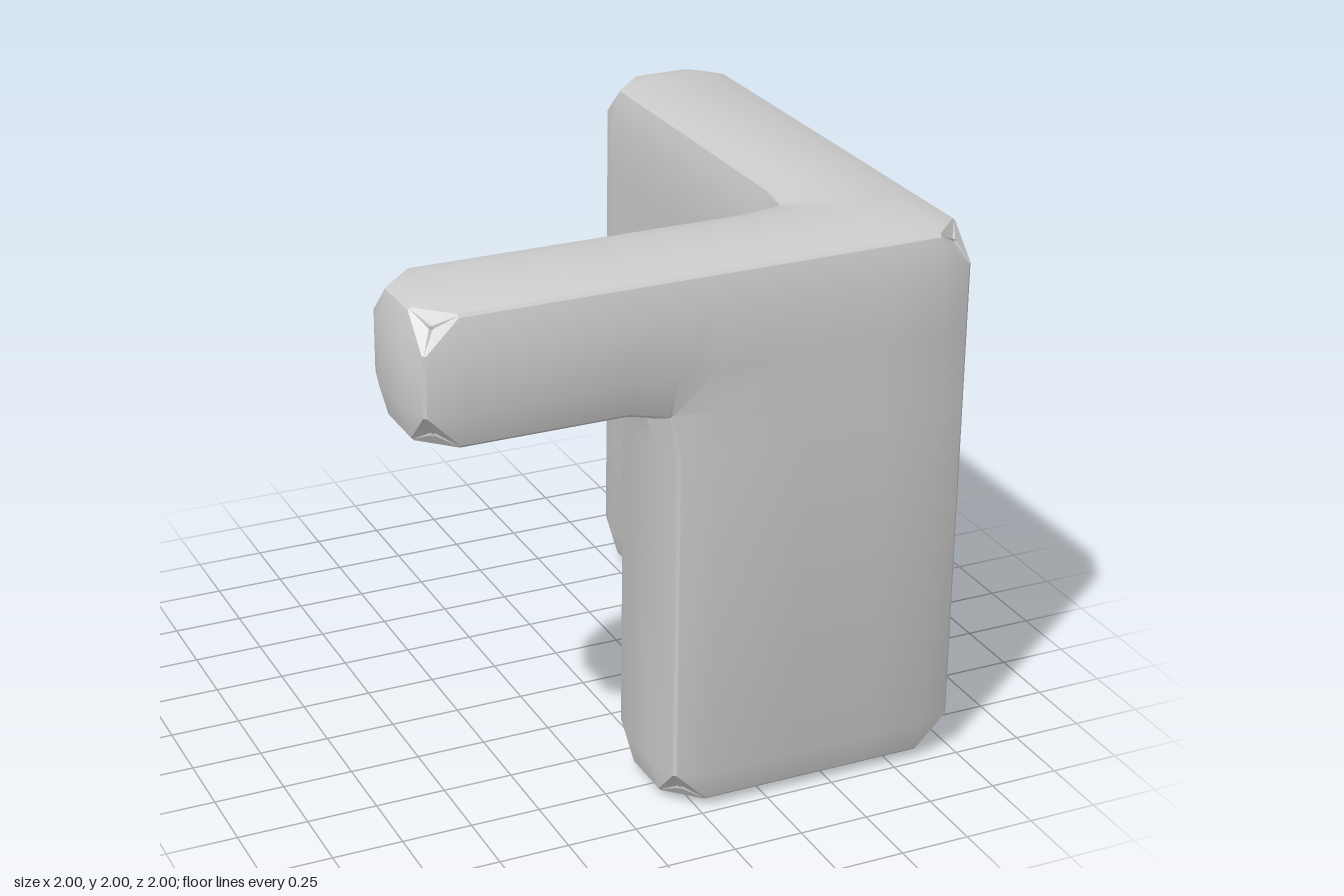
import * as THREE from 'three';
import { toCreasedNormals } from 'three/addons/utils/BufferGeometryUtils.js';

// Solid blocks [x0, x1, y0, y1, z0, z1] that join into one bevelled body
const blocks = [
  [0.5, 1, 0, 2, -1, 1],      // side panel
  [-0.125, 1, 0, 2, 0.5, 1],  // front column
  [-1, 1, 1.49, 2, 0.5, 1],   // front arm
];
const inside = (p) => blocks.some((b) => [0, 1, 2].every((i) => p[i] > b[2 * i] && p[i] < b[2 * i + 1]));

// Grid lines: each block plane plus support lines for the bevel on both sides
const OFFSETS = [-0.15, -0.01, 0, 0.01, 0.15];
const lines = [0, 1, 2].map((axis) => {
  const planes = [...new Set(blocks.flatMap((b) => [b[2 * axis], b[2 * axis + 1]]))];
  const lo = Math.min(...planes), hi = Math.max(...planes);
  const all = planes.flatMap((p) => OFFSETS.map((o) => +(p + o).toFixed(3)));
  return [...new Set(all)].filter((v) => v >= lo && v <= hi).sort((a, b) => a - b);
});

// Count the filled octants around a point and which way the solid lies
function octants(p, h) {
  const sum = [0, 0, 0];
  let filled = 0;
  for (const sx of [-1, 1]) for (const sy of [-1, 1]) for (const sz of [-1, 1]) {
    const s = [sx, sy, sz];
    if (!inside(p.map((v, i) => v + s[i] * h))) continue;
    filled++;
    s.forEach((v, i) => { sum[i] += v; });
  }
  return { filled, sum };
}

// Bevel rule: convex edges and corners sink in, concave edges fill out
function bevel(p) {
  const { filled, sum } = octants(p, 0.1);
  if (filled === 4) return p;
  const edge = octants(p, 0.004).filled === 4 ? 0.03 : 0.035;
  return p.map((v, i) => {
    if (filled === 1) return v + 0.07 * sum[i];
    if (filled === 3) return Math.abs(sum[i]) === 3 ? v + edge * Math.sign(sum[i]) : v;
    return v + edge * Math.sign(sum[i]) * (filled < 4 ? 1 : -1);
  });
}

function bodyGeometry() {
  const positions = [];
  const dist = (a, b) => Math.hypot(a[0] - b[0], a[1] - b[1], a[2] - b[2]);
  const mid = (axis, i) => (lines[axis][i] + lines[axis][i + 1]) / 2;
  const filledCell = (c) => c.every((i, a) => i >= 0 && i < lines[a].length - 1) && inside(c.map((i, a) => mid(a, i)));

  // Skin of every filled cell that borders an empty one
  const addCell = (cell) => {
    for (let axis = 0; axis < 3; axis++) for (const side of [0, 1]) {
      const next = [...cell];
      next[axis] += side ? 1 : -1;
      if (filledCell(next)) continue;
      const u = (axis + 1) % 3, v = (axis + 2) % 3;
      const q = [[0, 0], [1, 0], [1, 1], [0, 1]].map(([du, dv]) => {
        const c = [...cell];
        c[axis] += side; c[u] += du; c[v] += dv;
        return bevel(c.map((i, a) => lines[a][i]));
      });
      if (!side) q.reverse();
      const order = dist(q[0], q[2]) >= dist(q[1], q[3]) ? [0, 1, 2, 0, 2, 3] : [1, 2, 3, 1, 3, 0];
      order.forEach((k) => positions.push(...q[k]));
    }
  };
  for (let i = 0; i < lines[0].length - 1; i++)
    for (let j = 0; j < lines[1].length - 1; j++)
      for (let k = 0; k < lines[2].length - 1; k++)
        if (filledCell([i, j, k])) addCell([i, j, k]);

  const geometry = new THREE.BufferGeometry();
  geometry.setAttribute('position', new THREE.Float32BufferAttribute(positions, 3));
  return toCreasedNormals(geometry, 0.45);
}

export function createModel() {
  const group = new THREE.Group();
  group.name = 'cornerBlock';
  const body = new THREE.Mesh(bodyGeometry(), new THREE.MeshStandardMaterial({ color: 0xcccccc }));
  body.name = 'bevelledPanels';
  group.add(body);
  return group;
}
